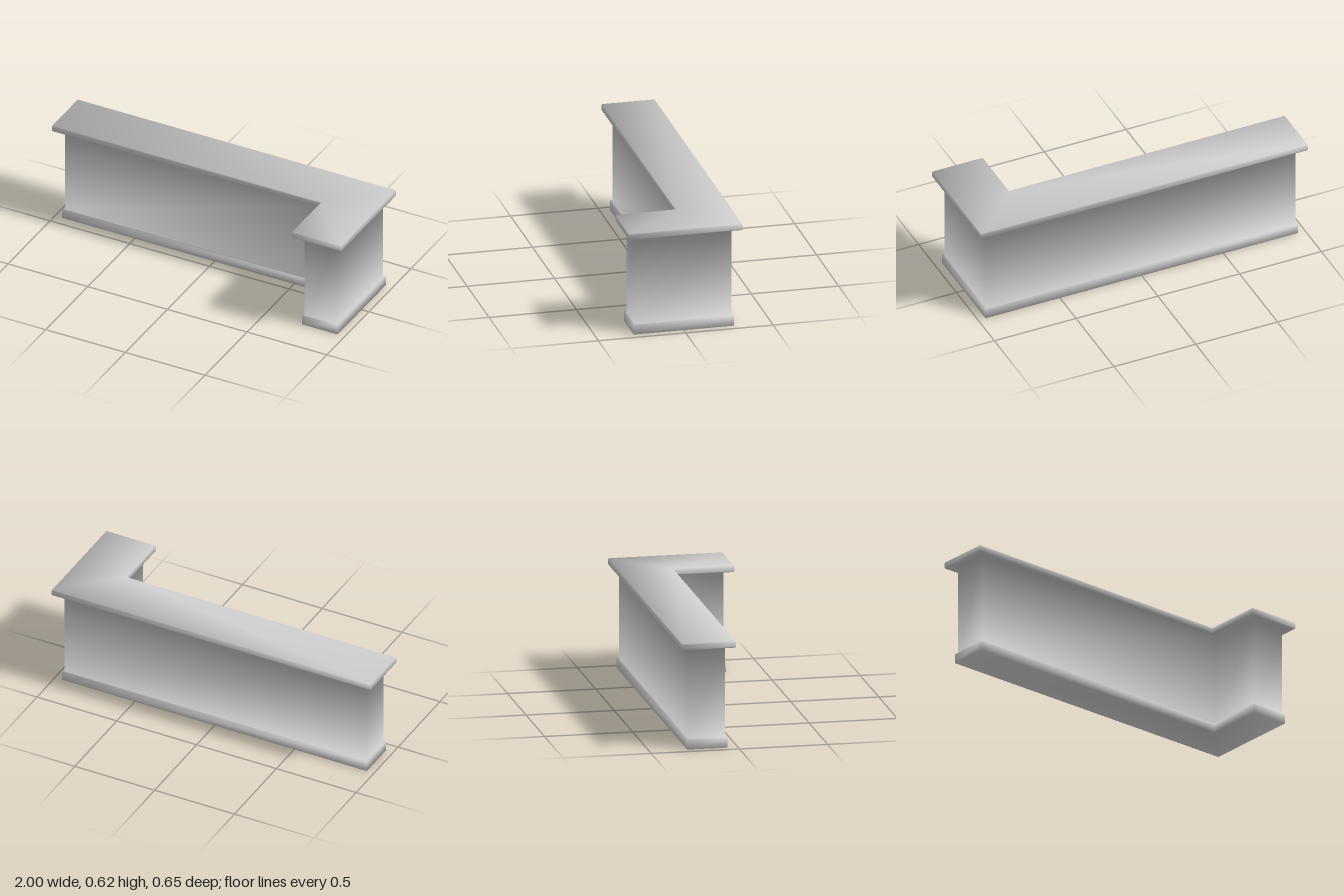
import * as THREE from 'three';

// Body half sizes and the inner corner of the L
const HX = 0.944, HZ = 0.276, IX = 0.743, IZ = -0.069;

// L-shaped outline at height y, grown outwards by ex and ez
function ring([y, ex, ez]) {
  const X = HX + ex, Z = HZ + ez, x = IX - ex, z = IZ + ez;
  return [-X, y, -Z, -X, y, z, x, y, z, x, y, Z, X, y, Z, X, y, -Z];
}

// Rising profile: [height, growth in x, growth in z]
const profile = [
  [0, 0.011, 0.011], [0.056, 0.011, 0.011],
  [0.056, 0, 0], [0.58, 0, 0],
  [0.58, 0.053, 0.047], [0.587, 0.056, 0.049],
  [0.608, 0.056, 0.049], [0.617, 0.053, 0.047],
];

// Quads joining ring r to the one above it
function wall(r) {
  const out = [];
  for (let i = 0; i < 6; i++) {
    const a = r * 6 + i, b = r * 6 + (i + 1) % 6;
    out.push(a, b, b + 6, a, b + 6, a + 6);
  }
  return out;
}

// L-shaped cap, fanned from the inner corner
function cap(r, up) {
  const out = [];
  for (const [a, b] of [[3, 4], [4, 5], [5, 0], [0, 1]]) {
    out.push(r * 6 + 2, r * 6 + (up ? a : b), r * 6 + (up ? b : a));
  }
  return out;
}

// Smooth normals, each face weighted by its angle at the corner
function smoothNormals(geometry) {
  const position = geometry.attributes.position;
  const index = geometry.index.array;
  const points = [], sums = [];
  for (let i = 0; i < position.count; i++) {
    points.push(new THREE.Vector3().fromBufferAttribute(position, i));
    sums.push(new THREE.Vector3());
  }
  for (let t = 0; t < index.length; t += 3) {
    for (let k = 0; k < 3; k++) {
      const [p, q, r] = [0, 1, 2].map((j) => index[t + (k + j) % 3]);
      const u = points[q].clone().sub(points[p]);
      const v = points[r].clone().sub(points[p]);
      const angle = u.angleTo(v);
      sums[p].addScaledVector(u.cross(v).normalize(), angle);
    }
  }
  const normals = sums.flatMap((n) => n.normalize().toArray());
  geometry.setAttribute('normal', new THREE.Float32BufferAttribute(normals, 3));
}

export function createModel() {
  const group = new THREE.Group();
  group.name = 'cornerCounter';
  const material = new THREE.MeshStandardMaterial({ color: 0xcccccc });

  const parts = {
    base: [...cap(0, false), ...wall(0), ...wall(1)],
    body: wall(2),
    countertop: [3, 4, 5, 6].flatMap(wall).concat(cap(7, true)),
  };

  // One welded shell, so the normals blend smoothly from part to part
  const shell = new THREE.BufferGeometry();
  shell.setAttribute('position', new THREE.Float32BufferAttribute(profile.flatMap(ring), 3));
  shell.setIndex(Object.values(parts).flat());
  smoothNormals(shell);

  for (const [name, index] of Object.entries(parts)) {
    const geometry = shell.clone();
    geometry.setIndex(index);
    const mesh = new THREE.Mesh(geometry, material);
    mesh.name = name;
    group.add(mesh);
  }
  return group;
}
